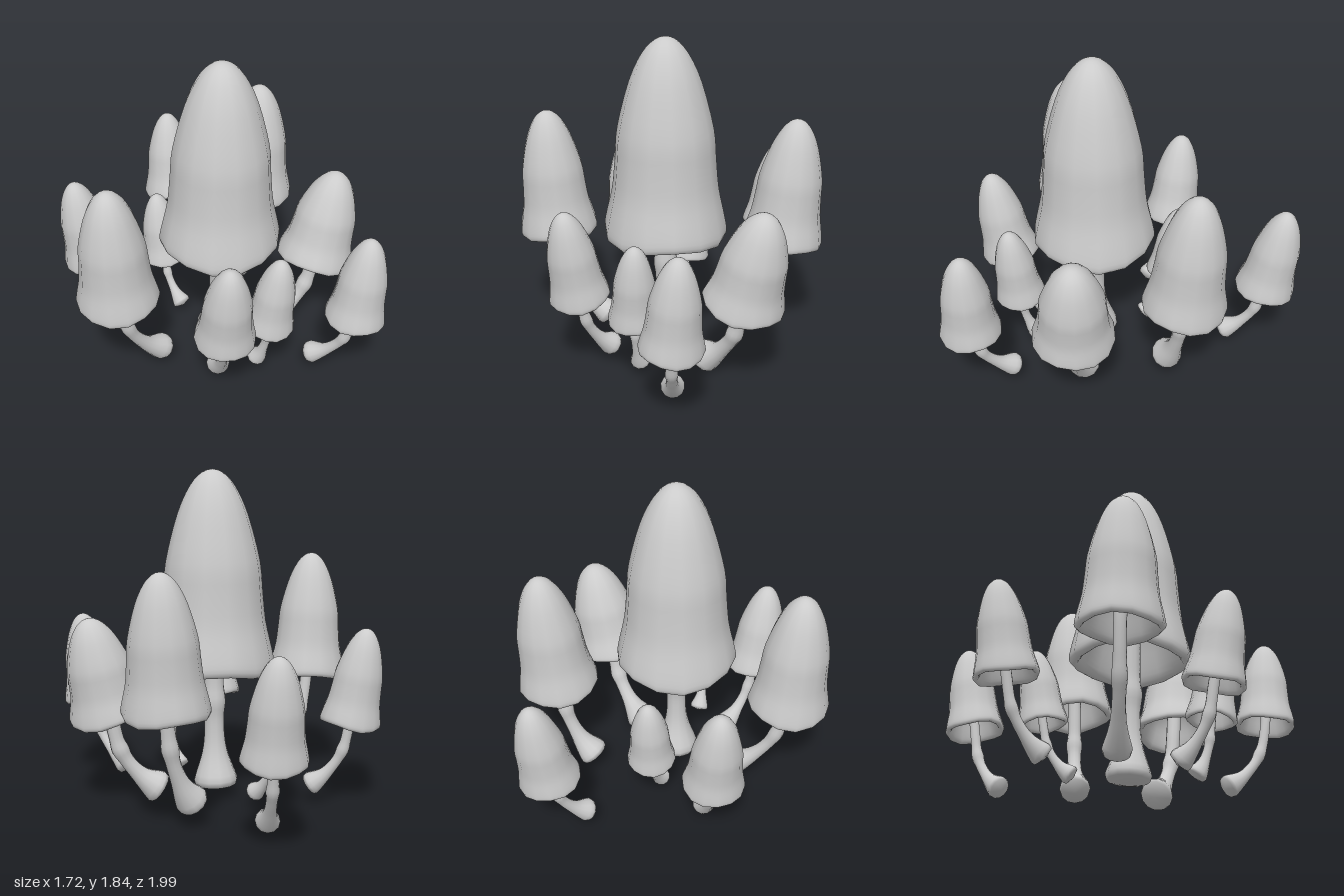
import * as THREE from 'three';
import { mergeVertices } from 'three/addons/utils/BufferGeometryUtils.js';

const V = (x, y, z) => new THREE.Vector3(x, y, z);
const material = new THREE.MeshStandardMaterial({ color: 0xcccccc });

// Weld seams so shading runs smoothly all the way round
function smooth(geometry) {
  geometry.deleteAttribute('uv');
  geometry.deleteAttribute('normal');
  const welded = mergeVertices(geometry, 1e-5);
  welded.computeVertexNormals();
  return welded;
}

// Bell profile (radius, height) from the hollow underside, round the lip, up to the tip
const bell = new THREE.SplineCurve([
  [0, 0.42], [0.35, 0.38], [0.6, 0.24], [0.74, 0.09], [0.83, 0.012], [0.93, -0.01], [1, 0.02],
  [0.96, 0.1], [0.86, 0.24], [0.81, 0.4], [0.765, 0.55], [0.57, 0.78], [0.36, 0.92], [0.16, 0.985], [0, 1],
].map(([r, y]) => new THREE.Vector2(r, y)));

// Hollow cap standing on the rim centre and leaning towards its tip
function makeCap(rim, tip, radius) {
  const axis = tip.clone().sub(rim);
  const height = axis.length();
  const points = bell.getPoints(42).map(p => new THREE.Vector2(Math.max(0, p.x) * radius, p.y * height));
  const geometry = new THREE.LatheGeometry(points, 14);
  const pos = geometry.attributes.position;
  for (let i = 0; i < pos.count; i++) {
    // slight wave along the rim
    const x = pos.getX(i), y = pos.getY(i), z = pos.getZ(i);
    const fade = Math.max(0, 1 - y / height / 0.2) * Math.hypot(x, z) / radius;
    pos.setY(i, y + Math.sin(3 * Math.atan2(x, z) + rim.x * 9) * 0.05 * radius * fade);
  }
  const cap = new THREE.Mesh(smooth(geometry), material);
  cap.name = 'cap';
  cap.position.copy(rim);
  cap.quaternion.setFromUnitVectors(V(0, 1, 0), axis.normalize());
  return cap;
}

// Bent stem with a flared blunt foot, a thin neck and small knots at its bends
function makeStem(foot, rim, tip, radius) {
  const mix = (h, v) => V(
    THREE.MathUtils.lerp(foot.x, rim.x, h),
    THREE.MathUtils.lerp(foot.y, rim.y, v),
    THREE.MathUtils.lerp(foot.z, rim.z, h));
  const curve = new THREE.CatmullRomCurve3(
    [foot, mix(0.45, 0.22), mix(0.82, 0.55), rim, rim.clone().lerp(tip, 0.4)]);
  const rows = 36, sides = 12;
  const geometry = new THREE.TubeGeometry(curve, rows, 1, sides);
  const pos = geometry.attributes.position;
  const v = V(0, 0, 0);
  const bump = (t, at, width) => Math.exp(-Math.pow((t - at) / width, 2));
  for (let i = 0; i <= rows; i++) {
    const t = i / rows;
    const centre = curve.getPointAt(t);
    const round = [0, 0.88][i] ?? 1;
    const r = radius * (0.45 + 0.65 * bump(t, 0, 0.16) + 0.1 * bump(t, 0.45, 0.05)) * round;
    for (let j = 0; j <= sides; j++) {
      const k = i * (sides + 1) + j;
      v.fromBufferAttribute(pos, k).sub(centre).multiplyScalar(r).add(centre);
      pos.setXYZ(k, v.x, v.y, v.z);
    }
  }
  const stem = new THREE.Mesh(smooth(geometry), material);
  stem.name = 'stem';
  return stem;
}

// name, foot, rim centre, tip, cap radius, foot radius
const mushrooms = [
  ['centreMushroom', [0.03, 0.05, 0.03], [0.033, 0.75, 0.045], [0.033, 1.85, 0.055], 0.34, 0.122],
  ['rightMushroom', [-0.315, 0.095, -0.04], [-0.645, 0.645, -0.035], [-0.695, 1.36, -0.02], 0.225, 0.075],
  ['leftMushroom', [0.43, 0.12, -0.25], [0.632, 0.645, -0.265], [0.69, 1.36, -0.295], 0.227, 0.086],
  ['leftFrontMushroom', [0.295, 0.066, 0.185], [0.548, 0.515, 0.32], [0.665, 1.06, 0.355], 0.224, 0.09],
  ['rightFrontMushroom', [-0.195, 0.1, 0.265], [-0.322, 0.485, 0.453], [-0.37, 1.005, 0.54], 0.168, 0.065],
  ['smallFrontMushroom', [0, 0.09, 0.375], [-0.003, 0.405, 0.475], [0.02, 0.865, 0.535], 0.142, 0.055],
  ['farFrontMushroom', [0.24, 0.1, 0.565], [0.31, 0.485, 0.823], [0.355, 1.005, 0.855], 0.168, 0.063],
  ['smallBackMushroom', [0.02, 0.09, -0.255], [0.02, 0.38, -0.422], [0.015, 0.805, -0.48], 0.135, 0.052],
  ['rightBackMushroom', [-0.272, 0.1, -0.39], [-0.39, 0.485, -0.593], [-0.445, 1.005, -0.66], 0.168, 0.063],
  ['farBackMushroom', [0.305, 0.1, -0.65], [0.442, 0.48, -0.832], [0.485, 1.005, -0.905], 0.168, 0.063],
];

export function createModel() {
  const model = new THREE.Group();
  model.name = 'mushroomCluster';
  for (const [name, f, r, t, capRadius, footRadius] of mushrooms) {
    const foot = V(...f), rim = V(...r), tip = V(...t);
    const mushroom = new THREE.Group();
    mushroom.name = name;
    mushroom.add(makeStem(foot, rim, tip, footRadius), makeCap(rim, tip, capRadius));
    model.add(mushroom);
  }
  // stand the lowest foot on the ground
  const lowest = new THREE.Box3().setFromObject(model, true).min.y;
  for (const mushroom of model.children) mushroom.position.y -= lowest;
  return model;
}
